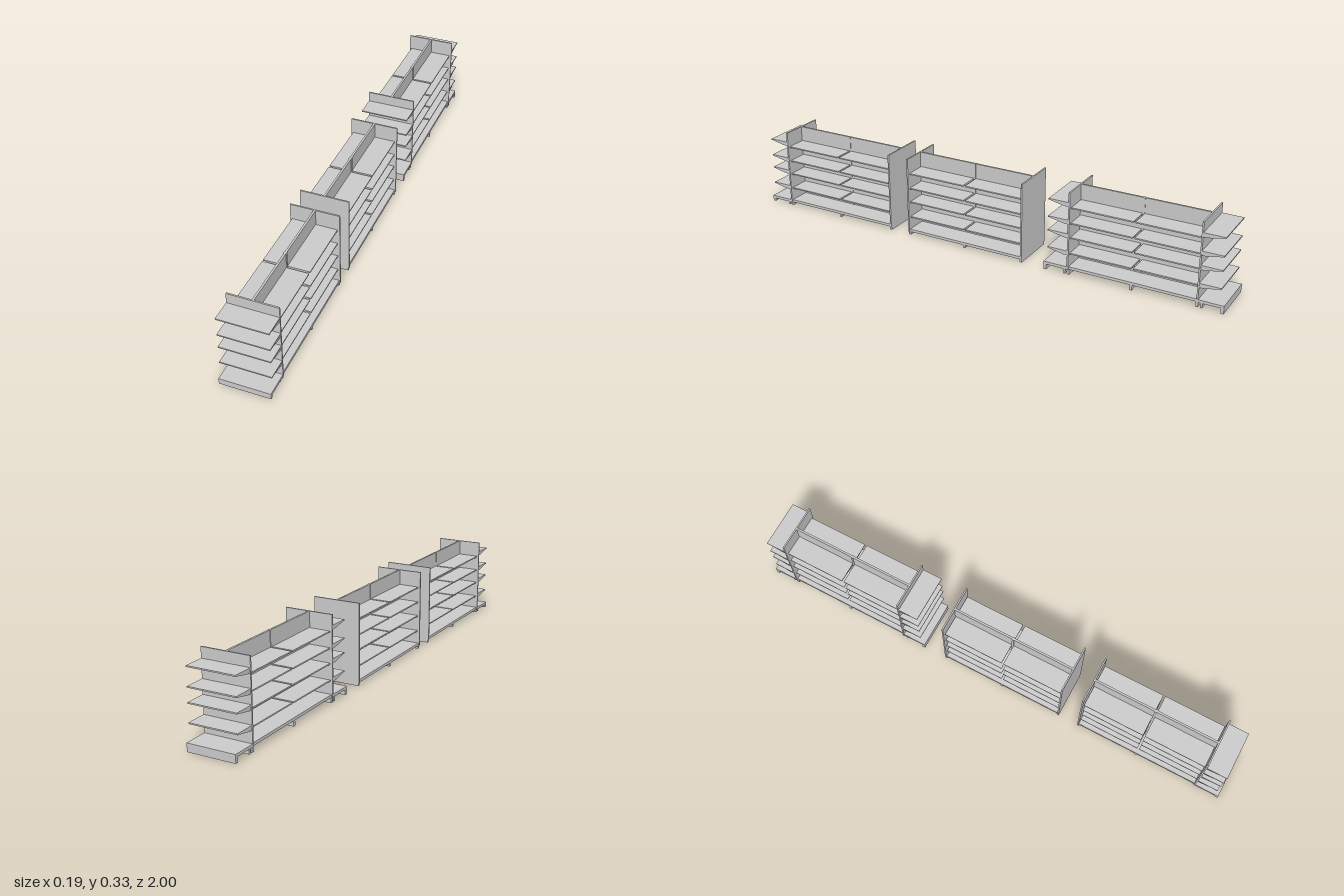
import * as THREE from 'three';

const grey = new THREE.MeshStandardMaterial({ color: 0xcccccc, flatShading: true });

// box given by its min/max corners
function box(parent, name, x0, x1, y0, y1, z0, z1) {
  const m = new THREE.Mesh(new THREE.BoxGeometry(x1 - x0, y1 - y0, z1 - z0), grey);
  m.position.set((x0 + x1) / 2, (y0 + y1) / 2, (z0 + z1) / 2);
  m.name = name;
  parent.add(m);
  return m;
}

// shelf projecting to +z from its back edge, carried by two tapered brackets
function shelf(width, depth) {
  const g = new THREE.Group();
  g.name = 'shelf';
  const w = width / 2;
  box(g, 'shelfBoard', -w, w, -0.005, 0, 0, depth);
  const s = new THREE.Shape();
  s.moveTo(0, -0.005);
  s.lineTo(depth * 0.9, -0.005);
  s.lineTo(depth * 0.9, -0.007);
  s.lineTo(0.015, -0.018);
  s.lineTo(0, -0.018);
  const geo = new THREE.ExtrudeGeometry(s, { depth: 0.003, bevelEnabled: false });
  geo.rotateY(-Math.PI / 2);
  for (const x of [-w + 0.005, w - 0.002]) {
    const m = new THREE.Mesh(geo, grey);
    m.name = 'bracket';
    m.position.x = x;
    g.add(m);
  }
  return g;
}

// double-sided shelving unit, two bays long, with optional shelved ends
function shelvingUnit(zCentre, lift, endCaps) {
  const g = new THREE.Group();
  g.name = 'shelvingUnit';
  const half = 0.256, deck = 0.023, top = 0.323, bay = 0.25;

  // base deck and cross bars that carry it
  box(g, 'baseDeck', -0.092, 0.092, 0.012, deck, -half, half);
  for (const z of [-half + 0.005, 0, half - 0.005])
    box(g, 'footBar', -0.092, 0.092, -lift, 0.012, z - 0.005, z + 0.005);

  // central spine in two panels with posts
  for (const s of [-1, 1])
    box(g, 'spinePanel', -0.004, 0.004, deck, top, s > 0 ? 0.002 : -bay, s > 0 ? bay : -0.002);
  box(g, 'centrePost', -0.006, 0.006, deck, top, -0.004, 0.004);

  // end panels
  for (const s of [-1, 1])
    box(g, 'endPanel', -0.096, 0.096, 0.012, top, s * 0.253 - 0.003, s * 0.253 + 0.003);

  // long shelves on both sides of the spine
  for (const side of [-1, 1])
    for (const b of [-1, 1])
      for (const y of [0.078, 0.142, 0.2, 0.262]) {
        const sh = shelf(0.244, 0.084);
        sh.rotation.y = side * Math.PI / 2;
        sh.position.set(side * 0.004, y, b * 0.126);
        g.add(sh);
      }

  // shelved ends
  for (const s of endCaps) {
    const cap = new THREE.Group();
    cap.name = 'endCap';
    box(cap, 'endDeck', -0.096, 0.096, 0.012, deck, 0, 0.096);
    box(cap, 'endKickBar', -0.096, 0.096, -lift, 0.012, 0.084, 0.096);
    box(cap, 'endFootBar', -0.092, 0.092, -lift, 0.012, 0.008, 0.016);
    for (const y of [0.088, 0.158, 0.213, 0.283]) {
      const sh = shelf(0.192, 0.081);
      sh.position.y = y;
      cap.add(sh);
    }
    cap.position.z = s * half;
    if (s < 0) cap.rotation.y = Math.PI;
    g.add(cap);
  }
  g.position.set(0, lift, zCentre);
  return g;
}

export function createModel() {
  const model = new THREE.Group();
  model.name = 'shelvingRow';
  model.add(
    shelvingUnit(0.648, 0, [1]),
    shelvingUnit(0.054, 0, []),
    shelvingUnit(-0.648, 0.009, [-1, 1])
  );
  return model;
}
